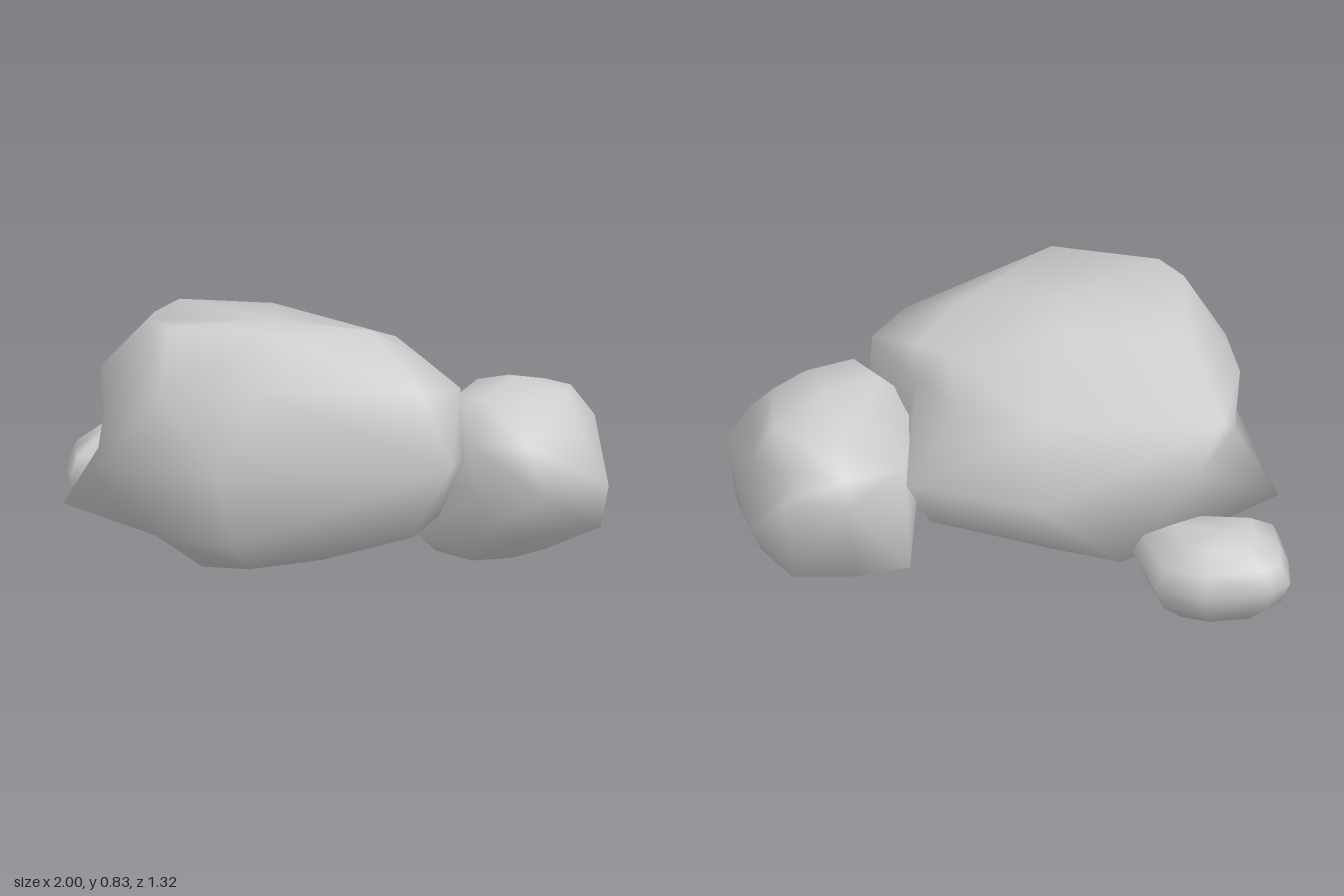
import * as THREE from 'three';

// Average of a list of points
const middle = (list) => [0, 1, 2].map((c) => list.reduce((s, p) => s + p[c], 0) / list.length);

// Closed smooth boulder lofted through rings listed bottom to top; each ring runs +x, +z, -x, -z.
function boulder(name, rings, material, topLift) {
  const n = rings[0].length;
  const points = rings.flat();
  const core = middle(points);
  // How far the middle of a diagonal bulges from the core
  const bulge = (i, j) => {
    const m = middle([points[i], points[j]]);
    return Math.hypot(m[0] - core[0], m[1] - core[1], m[2] - core[2]);
  };
  const index = [];
  for (let r = 0; r < rings.length - 1; r++) {
    for (let j = 0; j < n; j++) {
      const k = (j + 1) % n;
      const a = r * n + j, a2 = r * n + k, b = a + n, b2 = a2 + n;
      // Split each quad along its fuller diagonal
      if (bulge(a, b2) > bulge(a2, b)) index.push(a, b, b2, a, b2, a2);
      else index.push(a, b, a2, a2, b, b2);
    }
  }
  // Caps fan out from the middle of the first and last ring
  const bottom = points.length, top = bottom + 1, last = (rings.length - 1) * n;
  const crown = middle(rings[rings.length - 1]);
  crown[1] += topLift;
  points.push(middle(rings[0]), crown);
  for (let j = 0; j < n; j++) {
    const k = (j + 1) % n;
    index.push(bottom, j, k, top, last + k, last + j);
  }
  const geometry = new THREE.BufferGeometry();
  geometry.setAttribute('position', new THREE.Float32BufferAttribute(points.flat(), 3));
  geometry.setIndex(index);
  geometry.computeVertexNormals();
  const mesh = new THREE.Mesh(geometry, material);
  mesh.name = name;
  return mesh;
}

export function createModel() {
  const group = new THREE.Group();
  group.name = 'rocks';
  const stone = new THREE.MeshStandardMaterial({ color: 0xcccccc });
  stone.name = 'pale grey stone';

  // Large boulder with a low spur on its right side and a hollow at the back left
  group.add(boulder('largeRock', [
    [[0.1, 0.03, 0.05], [0.1, 0.03, 0.28], [-0.14, 0, 0.36], [-0.3, 0, 0.36], [-0.33, 0.01, 0.2],
      [-0.33, 0.01, 0.05], [-0.32, 0.01, -0.12], [-0.14, 0.02, -0.2], [0.06, 0.04, -0.18], [0.1, 0.04, -0.08]],
    [[0.45, 0.16, 0.08], [0.42, 0.13, 0.3], [-0.12, 0.13, 0.6], [-0.37, 0.14, 0.61], [-0.57, 0.15, 0.33],
      [-0.86, 0.13, 0.09], [-0.55, 0.12, -0.26], [-0.4, 0.1, -0.37], [0.25, 0.2, -0.38], [0.36, 0.18, -0.15]],
    [[0.55, 0.37, 0.12], [0.55, 0.37, 0.28], [-0.16, 0.37, 0.66], [-0.61, 0.37, 0.6], [-0.635, 0.37, 0.36],
      [-0.71, 0.37, 0.1], [-0.64, 0.38, -0.23], [-0.16, 0.38, -0.54], [0.32, 0.37, -0.44], [0.38, 0.38, -0.14]],
    [[0.53, 0.61, 0.1], [0.45, 0.62, 0.28], [-0.05, 0.66, 0.57], [-0.38, 0.65, 0.62], [-0.635, 0.58, 0.36],
      [-0.73, 0.61, 0.09], [-0.73, 0.6, -0.25], [-0.14, 0.62, -0.38], [0.18, 0.58, -0.26], [0.35, 0.55, -0.06]],
    [[0.22, 0.79, 0.1], [0.12, 0.79, 0.25], [-0.03, 0.83, 0.42], [-0.4, 0.83, 0.4], [-0.5, 0.83, 0.31],
      [-0.54, 0.81, 0.1], [-0.5, 0.82, -0.08], [-0.18, 0.82, -0.1], [0.24, 0.72, -0.14], [0.36, 0.68, -0.03]],
  ], stone, 0.02));

  // Medium boulder at the back left
  group.add(boulder('mediumRock', [
    [[0.75, 0.01, -0.16], [0.68, 0.01, 0], [0.55, 0, 0.03], [0.4, 0.01, -0.05],
      [0.38, 0.01, -0.3], [0.45, 0.02, -0.37], [0.6, 0.02, -0.45], [0.74, 0.03, -0.35]],
    [[0.94, 0.09, -0.2], [0.76, 0.1, 0.07], [0.58, 0.1, 0.11], [0.36, 0.08, 0.02],
      [0.3, 0.08, -0.49], [0.48, 0.08, -0.58], [0.68, 0.09, -0.63], [0.81, 0.09, -0.48]],
    [[1, 0.26, -0.08], [0.84, 0.26, 0.17], [0.6, 0.25, 0.14], [0.34, 0.3, 0.02],
      [0.31, 0.28, -0.47], [0.49, 0.37, -0.62], [0.7, 0.4, -0.66], [0.82, 0.25, -0.61]],
    [[0.91, 0.42, -0.1], [0.78, 0.42, 0.13], [0.58, 0.42, 0.13], [0.36, 0.43, 0],
      [0.33, 0.43, -0.43], [0.5, 0.46, -0.58], [0.67, 0.46, -0.58], [0.85, 0.42, -0.45]],
    [[0.82, 0.555, -0.2], [0.72, 0.55, -0.05], [0.58, 0.565, 0.02], [0.48, 0.55, -0.05],
      [0.49, 0.56, -0.27], [0.55, 0.54, -0.45], [0.67, 0.53, -0.47], [0.78, 0.53, -0.4]],
  ], stone, 0.04));

  // Small boulder at the back right: one outline shrunk toward its middle at each level
  const outline = [[-0.44, -0.37], [-0.6, -0.24], [-0.92, -0.21], [-0.97, -0.35],
    [-1, -0.49], [-0.95, -0.56], [-0.73, -0.635], [-0.56, -0.61]];
  const levels = [[0.005, 0.58], [0.07, 0.87], [0.15, 1], [0.22, 0.87], [0.285, 0.52]];
  const cx = -0.74, cz = -0.42;
  group.add(boulder('smallRock', levels.map(([y, s]) =>
    outline.map(([x, z]) => [cx + (x - cx) * s, y, cz + (z - cz) * s])), stone, 0.01));

  return group;
}
